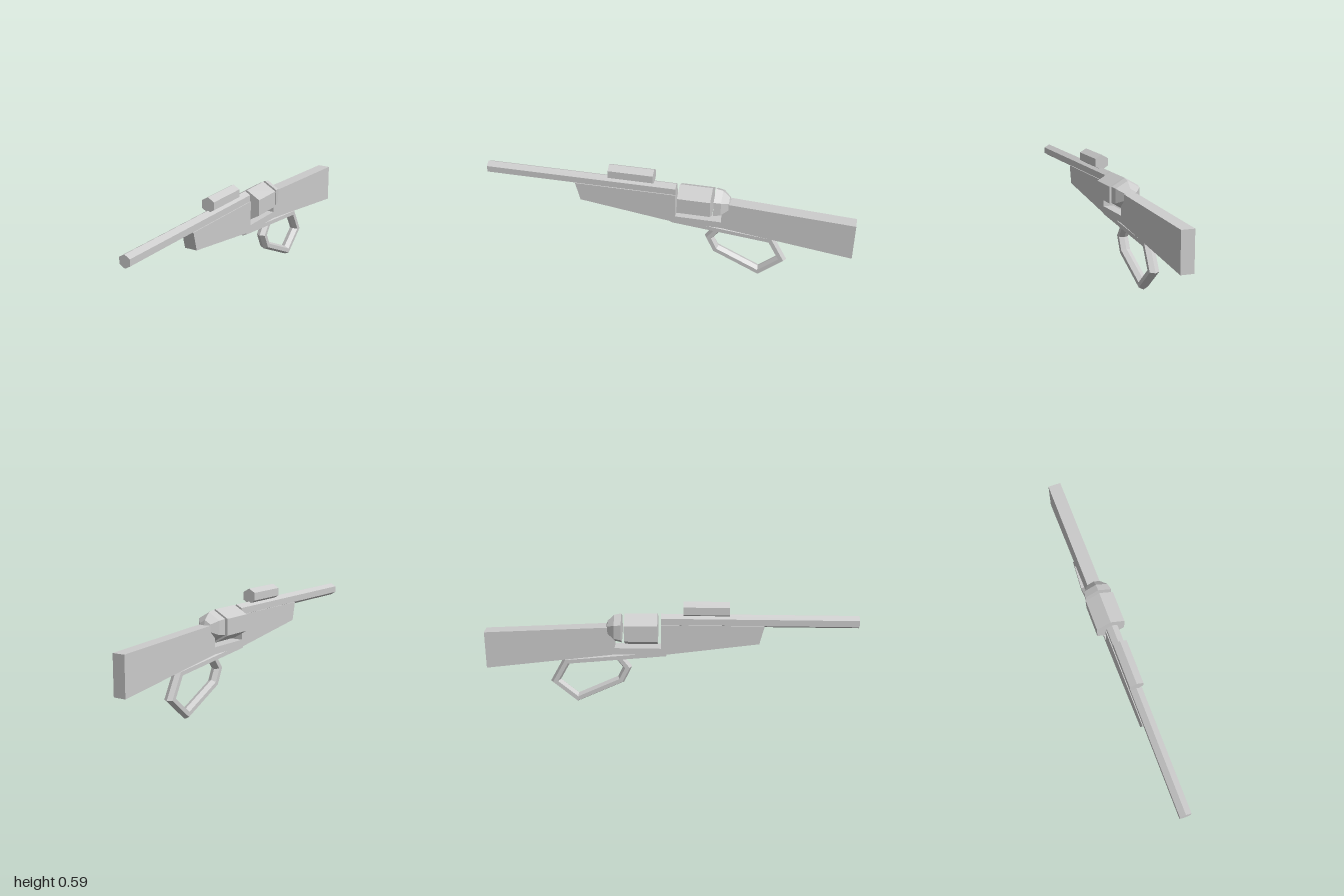
import * as THREE from 'three';

const grey = new THREE.MeshStandardMaterial({ color: 0xcccccc, flatShading: true });

function part(name, geometry) {
  const mesh = new THREE.Mesh(geometry, grey);
  mesh.name = name;
  return mesh;
}

// Six-sided bar lying along z, with a ridge on top
function hexBar(name, radius, y, zFront, zBack) {
  const g = new THREE.CylinderGeometry(radius, radius, zFront - zBack, 6);
  g.rotateX(Math.PI / 2);
  g.translate(0, y, (zFront + zBack) / 2);
  return part(name, g);
}

// Mitred six-sided tube through [z, y] points in the centre plane
function mitredTube(path, radiusX, radiusInPlane) {
  const pts = path.map(([z, y]) => new THREE.Vector3(0, y, z));
  const positions = [];
  const index = [];
  const sides = 6;
  const last = pts.length - 1;
  pts.forEach((p, i) => {
    const before = pts[i].clone().sub(pts[Math.max(i - 1, 0)]).normalize();
    const after = pts[Math.min(i + 1, last)].clone().sub(pts[i]).normalize();
    const t = before.clone().add(after).normalize();
    const along = i === last ? before : after;
    const stretch = radiusInPlane / t.dot(along);
    for (let j = 0; j < sides; j++) {
      const a = Math.PI / 6 + (j * Math.PI * 2) / sides;
      const m = Math.sin(a) * stretch;
      positions.push(Math.cos(a) * radiusX, p.y + t.z * m, p.z - t.y * m);
    }
  });
  for (let i = 0; i < last; i++) {
    for (let j = 0; j < sides; j++) {
      const a = i * sides + j;
      const b = i * sides + ((j + 1) % sides);
      index.push(a, b, b + sides, a, b + sides, a + sides);
    }
  }
  // end caps
  for (let j = 1; j < sides - 1; j++) {
    const e = last * sides;
    index.push(0, j + 1, j, e, e + j, e + j + 1);
  }
  const g = new THREE.BufferGeometry();
  g.setAttribute('position', new THREE.Float32BufferAttribute(positions, 3));
  g.setIndex(index);
  const flat = g.toNonIndexed();
  flat.computeVertexNormals();
  return flat;
}

export function createModel() {
  const group = new THREE.Group();
  group.name = 'rifle';

  // Stock: side profile in [z, y] with a notch for the drum
  const profile = [
    [0.5, 0.472], [-0.05, 0.472], [-0.05, 0.337], [-0.3, 0.337], [-0.3, 0.457],
    [-1, 0.42], [-1, 0.212], [-0.3, 0.3], [-0.04, 0.3], [0.475, 0.37],
  ];
  const shape = new THREE.Shape(profile.map(([z, y]) => new THREE.Vector2(z, y)));
  const stock = new THREE.ExtrudeGeometry(shape, { depth: 0.07, bevelEnabled: false });
  stock.rotateY(-Math.PI / 2);
  stock.translate(0.035, 0, 0);
  group.add(part('stock', stock));

  // Bars along the top
  group.add(hexBar('barrel', 0.035, 0.49, 1, -0.05));
  group.add(hexBar('sight', 0.042, 0.554, 0.315, 0.07));
  group.add(hexBar('drum', 0.088, 0.437, -0.068, -0.245));

  // Faceted dome behind the drum
  const domeProfile = [[0, 0.262], [0.084, 0.262], [0.075, 0.3], [0.04, 0.337], [0, 0.348]];
  const dome = new THREE.LatheGeometry(domeProfile.map(([r, d]) => new THREE.Vector2(r, d)), 6);
  dome.rotateX(-Math.PI / 2);
  dome.translate(0, 0.441, 0);
  group.add(part('drumCap', dome));

  // Lever guard: bar under the stock, looping round the hand opening
  const guardPath = [
    [-0.025, 0.3], [-0.565, 0.248], [-0.63, 0.13], [-0.51, 0.028],
    [-0.27, 0.141], [-0.234, 0.215], [-0.275, 0.27],
  ];
  group.add(part('leverGuard', mitredTube(guardPath, 0.029, 0.022)));

  return group;
}
